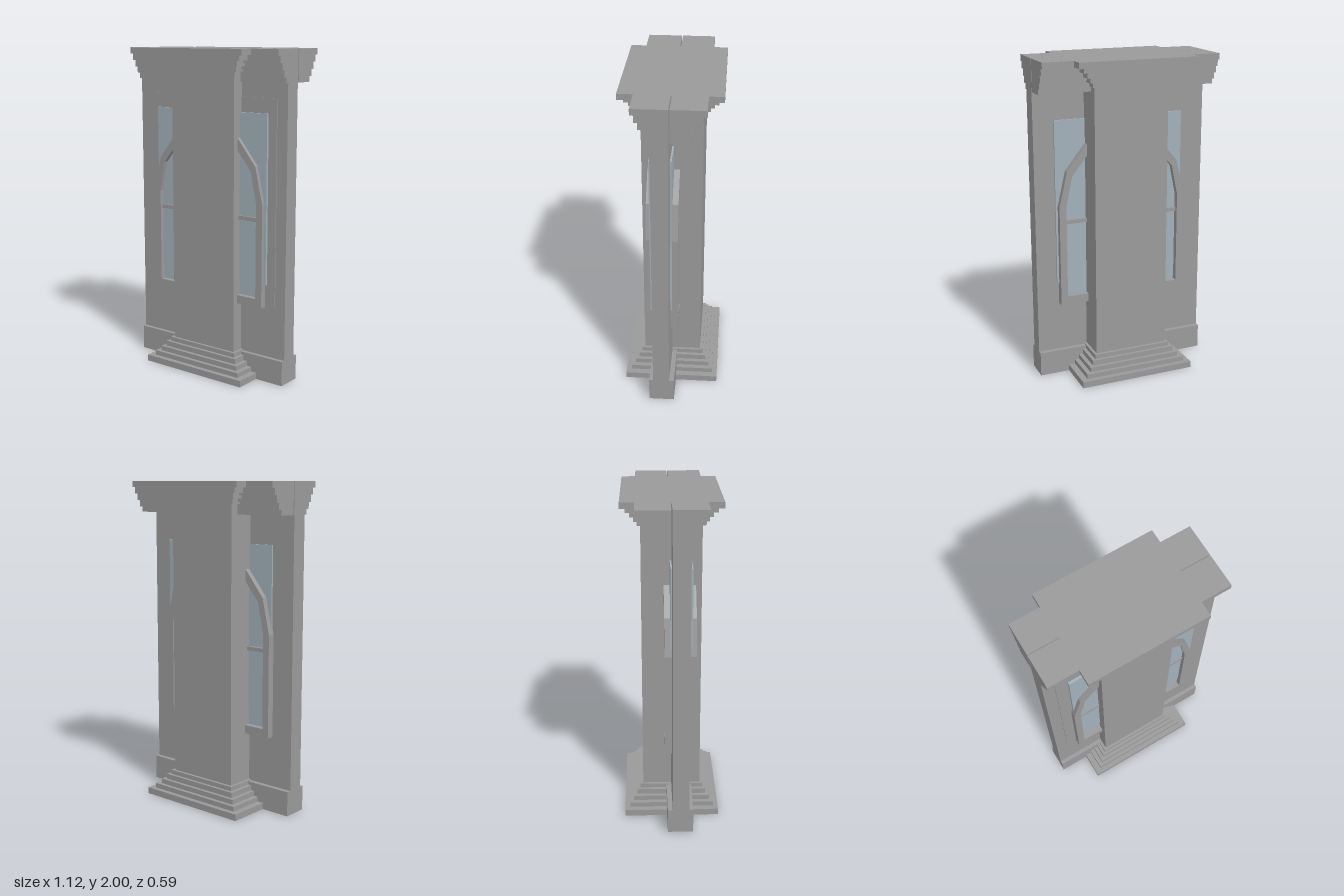
import * as THREE from 'three';

const stone = new THREE.MeshStandardMaterial({ color: 0x9a9a9a, flatShading: true });
const glass = new THREE.MeshStandardMaterial({ color: 0xa2b1ba, flatShading: true });

// Box given by its limits on each axis
function block(name, [x0, x1], [y0, y1], [z0, z1], material = stone) {
  const mesh = new THREE.Mesh(new THREE.BoxGeometry(x1 - x0, y1 - y0, z1 - z0), material);
  mesh.position.set((x0 + x1) / 2, (y0 + y1) / 2, (z0 + z1) / 2);
  mesh.name = name;
  return mesh;
}

// Symmetric arch outline from its right-hand points, listed bottom to top
function archPoints(half) {
  const mirrored = half.map(([x, y]) => [-x, y]).reverse();
  return [...half, ...mirrored].map(([x, y]) => new THREE.Vector2(x, y));
}

export function createModel() {
  const model = new THREE.Group();
  const wide = [-0.558, 0.558];

  // Wall, raised panel and plinth
  model.add(block('wall', wide, [0.1, 1.9], [0, 0.1]));
  model.add(block('wallPanel', [-0.485, 0.487], [0.47, 1.72], [0.05, 0.105]));
  model.add(block('wallPlinth', wide, [0, 0.153], [-0.03, 0.125]));

  // Wall cornice: two stepped halves with a fine seam between them
  const corniceY = [1.807, 1.84, 1.88, 1.922, 1.962, 2];
  const corniceZ = [0.12, 0.142, 0.163, 0.184, 0.205];
  const cornice = new THREE.Group();
  cornice.name = 'wallCornice';
  corniceZ.forEach((z, i) => {
    const y = [corniceY[i], corniceY[i + 1]];
    cornice.add(block('corniceFrontStep', wide, y, [-0.003, z - 0.003]));
    cornice.add(block('corniceBackStep', wide, y, [-z - 0.003, -0.009]));
  });
  model.add(cornice);

  // Central pillar with stepped base and capital
  model.add(block('pillar', [-0.236, 0.236], [0.1, 1.9], [-0.178, 0.18]));
  const stepX = [0.37, 0.33, 0.3, 0.275, 0.253];
  const stepZ = [0.293, 0.262, 0.238, 0.216, 0.197];
  const baseY = [0, 0.04, 0.07, 0.1, 0.133, 0.16];
  const capitalY = [2, 1.964, 1.933, 1.9, 1.868, 1.84];
  const base = new THREE.Group();
  const capital = new THREE.Group();
  base.name = 'pillarBase';
  capital.name = 'pillarCapital';
  stepX.forEach((x, i) => {
    const z = stepZ[i];
    base.add(block('baseStep', [-x, x], [baseY[i], baseY[i + 1]], [-z, z]));
    capital.add(block('capitalStep', [-x, x], [capitalY[i + 1], capitalY[i]], [-z, z]));
  });
  model.add(base, capital);

  // Window glass showing on both faces of the wall
  model.add(block('windowGlass', [-0.407, 0.43], [0.605, 1.63], [-0.01, 0.12], glass));
  model.add(block('lowerGlass', [-0.39, 0.39], [0.5, 0.7], [-0.006, 0.114], glass));

  // Arched window frame
  const outer = [[0.417, 0.465], [0.417, 1.1], [0.366, 1.32], [0.2, 1.525], [0, 1.6]];
  const inner = [[0.373, 0.517], [0.373, 1.1], [0.333, 1.29], [0.18, 1.475], [0, 1.55]];
  const shape = new THREE.Shape(archPoints(outer));
  shape.holes.push(new THREE.Path(archPoints(inner)));
  const frame = new THREE.Mesh(
    new THREE.ExtrudeGeometry(shape, { depth: 0.19, bevelEnabled: false }), stone);
  frame.position.z = -0.045;
  frame.name = 'windowFrame';
  model.add(frame);
  model.add(block('windowBar', [-0.38, 0.38], [0.986, 1.01], [-0.03, 0.13]));

  return model;
}
